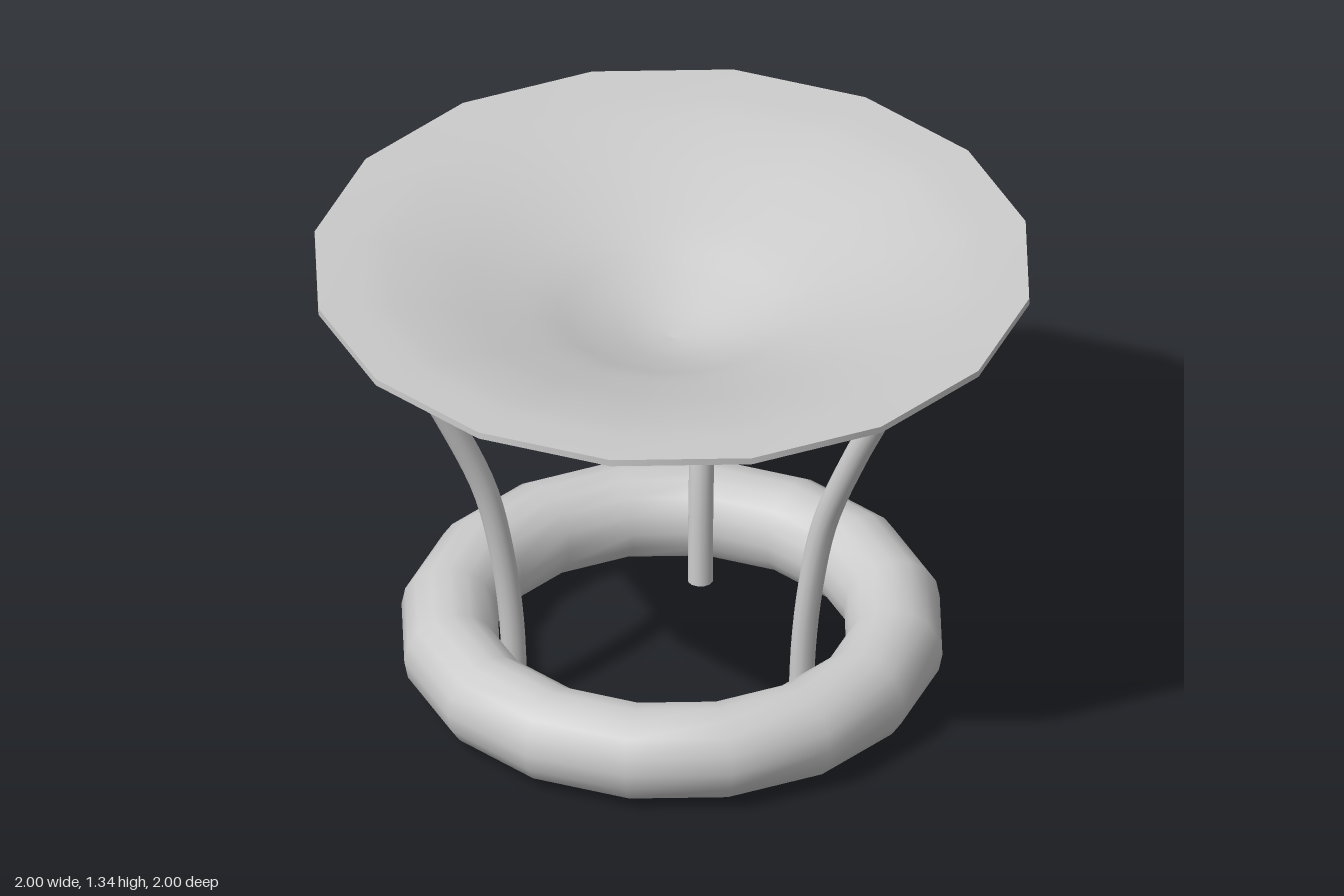
import * as THREE from 'three';

const SIDES = 16;
const material = new THREE.MeshStandardMaterial({ color: 0xcccccc });

function addMesh(parent, name, geometry) {
  const mesh = new THREE.Mesh(geometry, material);
  mesh.name = name;
  parent.add(mesh);
  return mesh;
}

// Horizontal torus centred on the y axis
function addRing(parent, name, radius, tube, y) {
  const geometry = new THREE.TorusGeometry(radius, tube, 16, SIDES);
  geometry.rotateX(Math.PI / 2);
  addMesh(parent, name, geometry).position.y = y;
}

// Smooth curve through [radius, height] pairs
function profile(pairs, divisions) {
  return new THREE.SplineCurve(pairs.map(([r, y]) => new THREE.Vector2(r, y))).getPoints(divisions);
}

// Thin funnel-shaped dish; separate strips keep the rim crisp
function makeDish() {
  const dish = new THREE.Group();
  dish.name = 'dish';
  const under = profile([[0, 1.075], [0.1, 1.088], [0.24, 1.132], [0.36, 1.18], [0.49, 1.222],
    [0.65, 1.268], [0.8, 1.299], [0.9, 1.309], [1, 1.315]], 24);
  const upper = under.map((p) => new THREE.Vector2(p.x, p.y + 0.02)).reverse();
  const strips = {
    dishUnderside: under,
    dishRim: [under[under.length - 1], upper[0]],
    dishBowl: upper,
  };
  for (const [name, points] of Object.entries(strips)) {
    addMesh(dish, name, new THREE.LatheGeometry(points, SIDES));
  }
  return dish;
}

// Curved round leg leaning outward along +z, with flat end caps
function makeLeg() {
  const leg = new THREE.Group();
  leg.name = 'leg';
  const tubeRadius = 0.035;
  const path = new THREE.CatmullRomCurve3(
    [[0.46, 0], [0.472, 0.28], [0.5, 0.5], [0.55, 0.72], [0.66, 0.98], [0.735, 1.13], [0.79, 1.25]]
      .map(([r, y]) => new THREE.Vector3(0, y, r)));
  addMesh(leg, 'legTube', new THREE.TubeGeometry(path, 24, tubeRadius, 12));
  for (const [t, sign] of [[0, -1], [1, 1]]) {
    const cap = addMesh(leg, 'legCap', new THREE.CircleGeometry(tubeRadius, 12));
    const end = path.getPointAt(t);
    cap.position.copy(end);
    cap.lookAt(end.addScaledVector(path.getTangentAt(t), sign));
  }
  return leg;
}

export function createModel() {
  const model = new THREE.Group();
  model.name = 'table';

  // Heavy base ring and slim support ring
  addRing(model, 'baseRing', 0.622, 0.135, 0.135);
  addRing(model, 'supportRing', 0.815, 0.035, 1.263);

  // One leg at the back, two at the front
  for (let i = 0; i < 3; i++) {
    const leg = makeLeg();
    leg.rotation.y = Math.PI + (i * Math.PI * 2) / 3;
    model.add(leg);
  }

  model.add(makeDish());
  return model;
}
